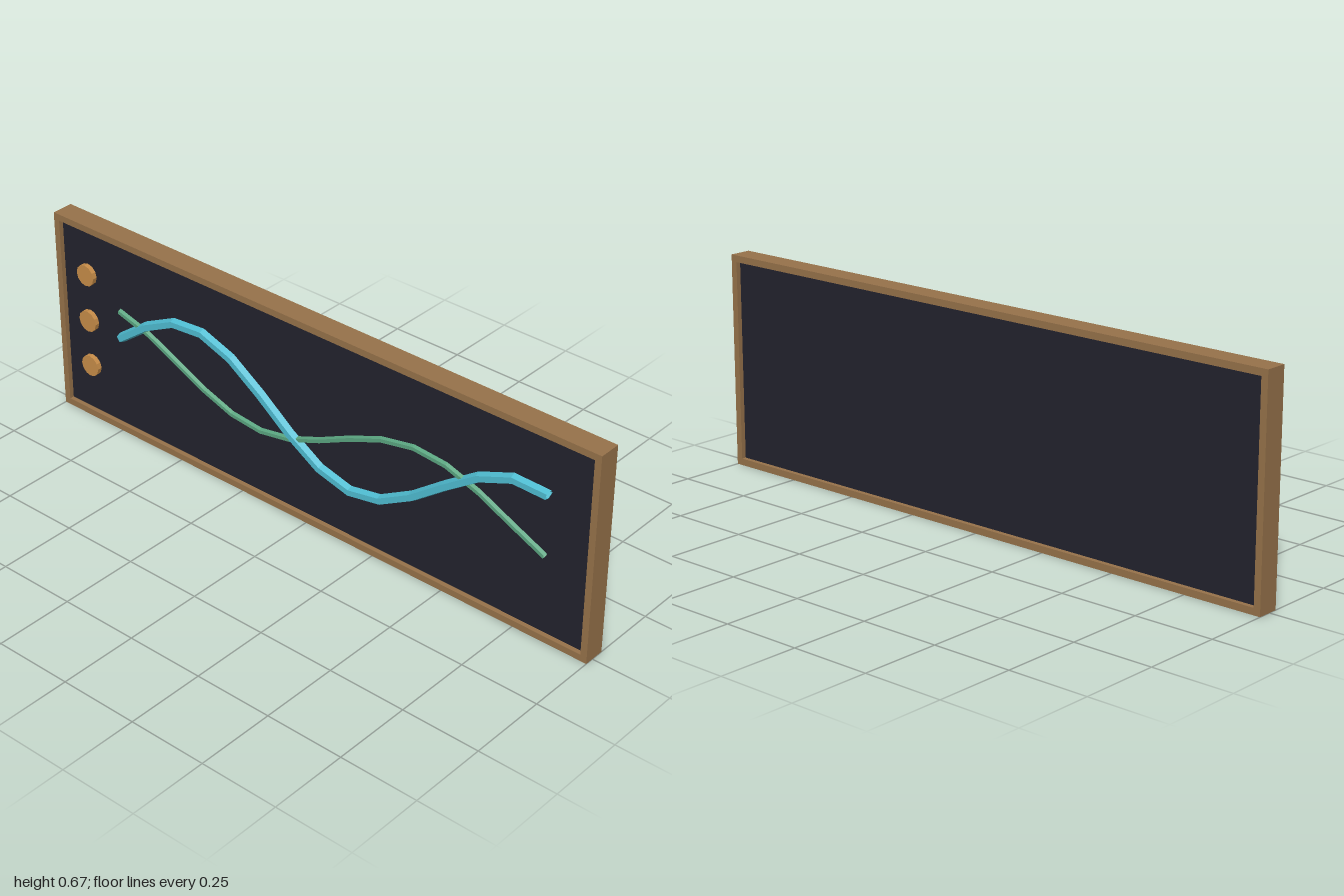
import * as THREE from 'three';

const mat = (name, color, extra = {}) => {
  const m = new THREE.MeshStandardMaterial({ color, ...extra });
  m.name = name;
  return m;
};

// Wave line y = f(x), sampled at even steps in x
class WaveCurve extends THREE.Curve {
  constructor(f) {
    super();
    this.f = f;
  }
  getUtoTmapping(u) {
    return u;
  }
  getPoint(t, target = new THREE.Vector3()) {
    const x = -0.735 + 1.58 * t;
    return target.set(x, -this.f(x), 0);
  }
}

export function createModel() {
  const group = new THREE.Group();
  const wood = mat('wood', 0x96724a);
  const dark = mat('dark panel', 0x22222d);
  const copper = mat('copper', 0xc68c48);
  const cyan = mat('cyan', 0x4fbdd2, { flatShading: true, side: THREE.DoubleSide });
  const green = mat('green', 0x5aa580, { flatShading: true, side: THREE.DoubleSide });

  const add = (name, geometry, material, x = 0, y = 0, z = 0) => {
    const mesh = new THREE.Mesh(geometry, material);
    mesh.name = name;
    mesh.position.set(x, y, z);
    group.add(mesh);
    return mesh;
  };

  // Four frame bars around the recessed panel
  const W = 2, H = 0.67, D = 0.07, B = 0.021, Z = -0.007;
  for (const s of [-1, 1]) {
    add(s > 0 ? 'frameTop' : 'frameBottom', new THREE.BoxGeometry(W, B, D), wood,
      0, H / 2 + s * (H - B) / 2, Z);
    add(s > 0 ? 'frameLeft' : 'frameRight', new THREE.BoxGeometry(B, H - 2 * B, D), wood,
      s * (W - B) / 2, H / 2, Z);
  }
  add('panel', new THREE.BoxGeometry(W - 2 * B, H - 2 * B, 0.04), dark, 0, H / 2, Z);

  // Column of round knobs
  const knob = new THREE.CylinderGeometry(0.035, 0.035, 0.015, 12).toNonIndexed();
  knob.rotateX(Math.PI / 2);
  knob.computeVertexNormals();
  for (const y of [0.18, 0.338, 0.497]) add('knob', knob, copper, -0.88, y, 0.0205);

  // Five-sided wave tubes, turned so a flat side faces forward
  const wave = (name, f, r, material) => {
    const geo = new THREE.TubeGeometry(new WaveCurve(f), 14, r, 5, false);
    geo.rotateX(Math.PI);
    add(name, geo, material, 0, 0, 0.029);
  };
  wave('mainWave', x => 0.338 + 0.15 * Math.sin(5.17 * (x + 0.735)), 0.016, cyan);
  wave('secondWave', x => 0.34 + 0.094 * Math.cos(5.17 * (x - 0.42)), 0.0095, green);

  return group;
}
